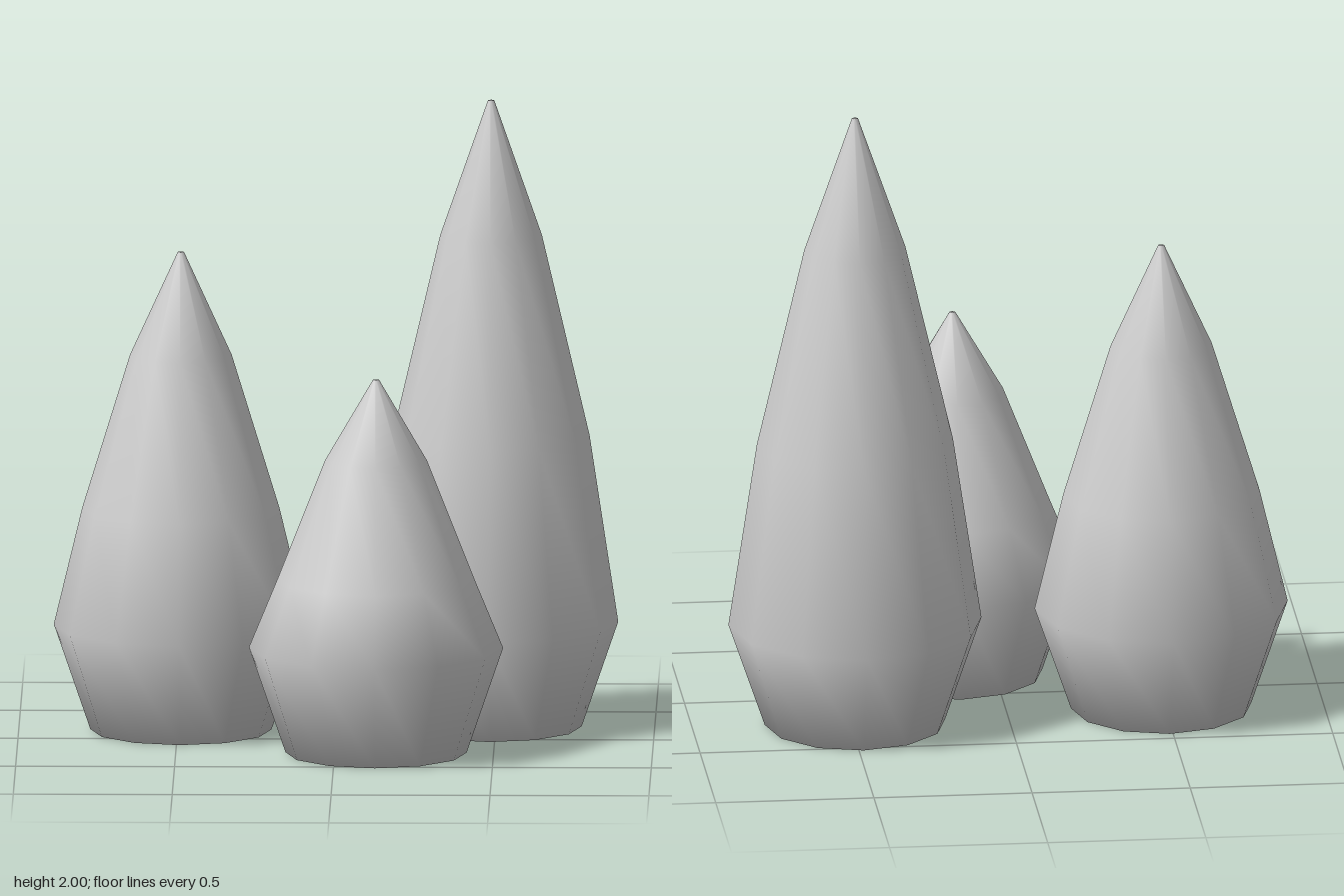
import * as THREE from 'three';

const SIDES = 12;

// One pointed tree: narrow foot, wide shoulder, then a tapering crown
function makeTree(name, x, z, height, material) {
  const profile = [
    [0, 0],
    [0.285, 0],
    [0.4, 0.335],
    [0.31, height * 0.465],
    [0.16, height * 0.785],
    [0.01, height],
    [0, height],
  ].map(([r, y]) => new THREE.Vector2(r, y));
  const tree = new THREE.Mesh(new THREE.LatheGeometry(profile, SIDES), material);
  tree.name = name;
  tree.position.set(x, 0, z);
  return tree;
}

export function createModel() {
  const group = new THREE.Group();
  group.name = 'treeCluster';
  const grey = new THREE.MeshStandardMaterial({ color: 0xcccccc });
  grey.name = 'light grey';

  group.add(
    makeTree('tallTree', 0.485, -0.24, 2, grey),
    makeTree('middleTree', -0.49, -0.17, 1.525, grey),
    makeTree('smallTree', 0.13, 0.235, 1.19, grey),
  );
  return group;
}
